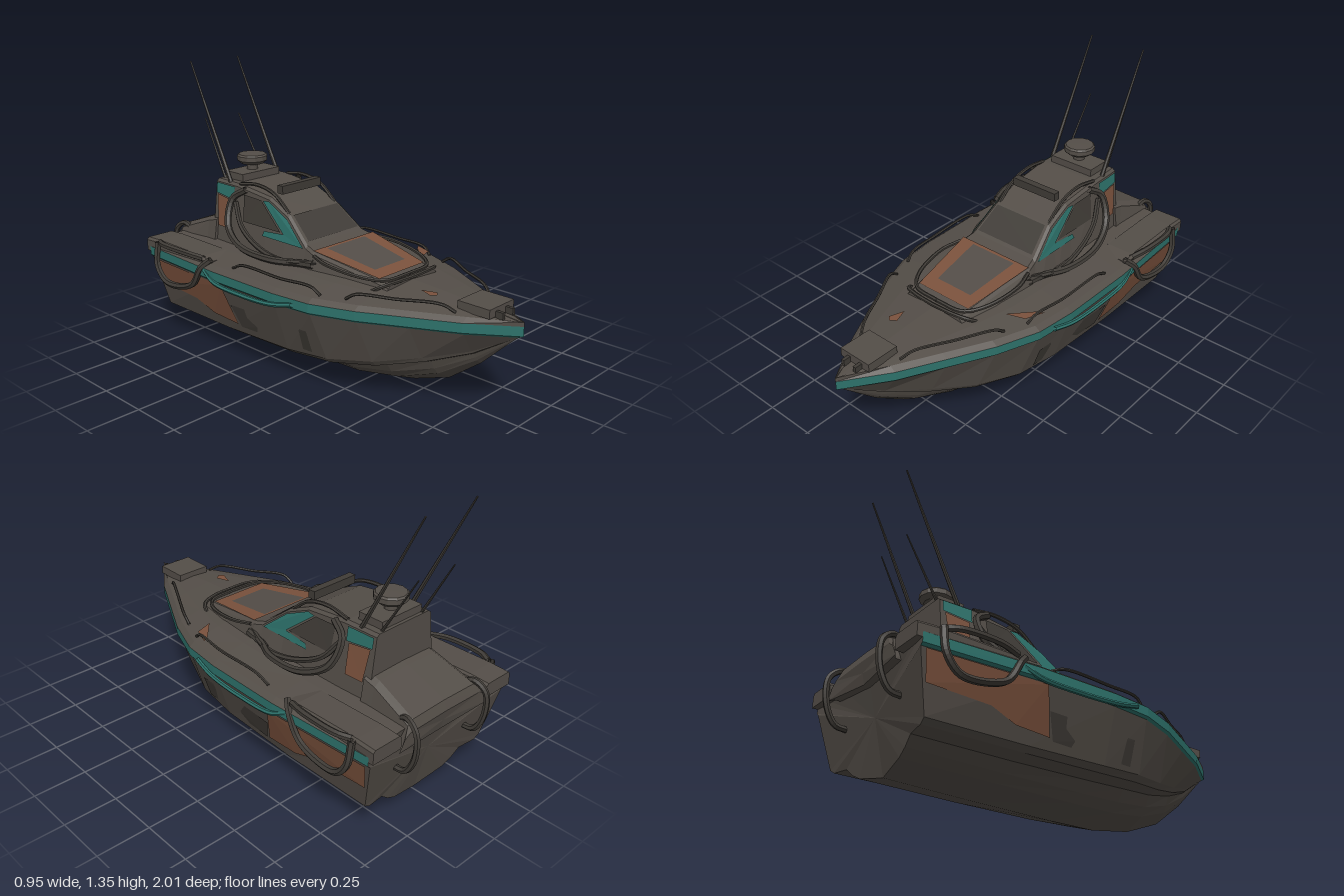
import * as THREE from 'three';

const mat = (name, color, side = THREE.FrontSide) => {
  const m = new THREE.MeshStandardMaterial({ color, side, flatShading: true });
  m.name = name;
  return m;
};

export function createModel() {
  const boat = new THREE.Group();
  boat.name = 'patrolBoat';
  const grey = mat('hullGrey', 0x544e48, THREE.DoubleSide);
  const dark = mat('fittingGrey', 0x403c37, THREE.DoubleSide);
  const teal = mat('tealTrim', 0x2d726b, THREE.DoubleSide);
  const rust = mat('rustPanel', 0x7b523d, THREE.DoubleSide);

  const add = (name, geo, material, parent = boat) => {
    const m = new THREE.Mesh(geo, material);
    m.name = name;
    parent.add(m);
    return m;
  };

  // Closed skin over rings that run from front to back; strips are sorted by material
  function loft(halfRings, matOf = () => 0) {
    const rings = halfRings.map(h => [...h, ...h.slice(1, -1).reverse().map(([x, y, z]) => [-x, y, z])]);
    const n = rings[0].length, half = halfRings[0].length, buckets = [[], []];
    for (let i = 0; i < rings.length - 1; i++) for (let j = 0; j < n; j++) {
      const k = (j + 1) % n, a = rings[i][j], b = rings[i][k], c = rings[i + 1][k], d = rings[i + 1][j];
      const strip = j < half - 1 ? j : n - 1 - j;
      buckets[matOf(strip)].push(a, d, c, a, c, b);
    }
    for (const [r, back] of [[rings[0], false], [rings[rings.length - 1], true]]) {
      const mid = [0, (r[0][1] + r[half - 1][1]) / 2, (r[0][2] + r[half - 1][2]) / 2];
      for (let j = 0; j < n; j++) {
        const p = r[j], q = r[(j + 1) % n];
        buckets[0].push(mid, ...(back ? [q, p] : [p, q]));
      }
    }
    const g = new THREE.BufferGeometry();
    g.setAttribute('position', new THREE.Float32BufferAttribute([...buckets[0], ...buckets[1]].flat(), 3));
    g.addGroup(0, buckets[0].length, 0);
    g.addGroup(buckets[0].length, buckets[1].length, 1);
    g.computeVertexNormals();
    return g;
  }

  // Value of a column in a table whose first column falls from bow to stern
  const sample = (table, z, col) => {
    let i = 0;
    while (i < table.length - 2 && z < table[i + 1][0]) i++;
    const a = table[i], b = table[i + 1];
    const t = THREE.MathUtils.clamp((z - a[0]) / (b[0] - a[0]), 0, 1);
    return a[col] + (b[col] - a[col]) * t;
  };

  // Hull lines: sheer [z, x, deck crown], keel [z, y], chine [z, x, y]
  const sheer = [[1, 0, .455], [.8, .13, .475], [.6, .235, .49], [.4, .34, .50], [.2, .415, .51], [0, .437, .51], [-.4, .443, .50], [-.93, .418, .49]];
  const keel = [[.975, .39], [.8, .22], [.64, .10], [.45, .03], [.24, 0], [0, 0], [-.4, .008], [-.82, .02]];
  const chine = [[.975, 0, .39], [.79, .06, .29], [.61, .16, .235], [.42, .26, .19], [.22, .335, .165], [0, .36, .15], [-.4, .37, .14], [-.87, .37, .14]];
  const strakes = [[0, 0], [.42, .28], [.56, .5], [.68, .8], [.92, .85], [1, 1]];
  const hull = sheer.map(([z, w, crown], i) => {
    const [kz, ky] = keel[i], [cz, cx, cy] = chine[i], lip = w ? .012 : 0;
    return [
      ...strakes.map(([fx, fy]) => [cx * fx, ky + (cy - ky) * fy, kz + (cz - kz) * fx]),
      [w, .39, z - (w ? 0 : .02)], [w + lip, .40, z], [w + lip, .443, z], [Math.max(w - .015, 0), .463, z],
      [w * .62, .463 + (crown - .463) * .6, z], [0, crown, z]
    ];
  });
  add('hull', loft(hull, s => (s === 6 || s === 7 ? 1 : 0)), [grey, teal]);

  // Thin plate cut from a flat outline, then laid on a surface by a mapping
  function plate(name, pts, material, map, hole) {
    const shape = new THREE.Shape(pts.map(p => new THREE.Vector2(...p)));
    if (hole) shape.holes.push(new THREE.Path(hole.map(p => new THREE.Vector2(...p))));
    const g = new THREE.ShapeGeometry(shape), p = g.attributes.position;
    for (let i = 0; i < p.count; i++) p.setXYZ(i, ...map(p.getX(i), p.getY(i)));
    g.computeVertexNormals();
    return add(name, g, material);
  }
  const hullSide = s => (z, y) => {
    const cx = sample(chine, z, 1), cy = sample(chine, z, 2), w = sample(sheer, z, 1);
    return [s * (cx + (w - cx) * (y - cy) / (.39 - cy) + .006), y, z];
  };

  // Cabin and forward trunk: [z, base half width, top half width, top height]
  const cab = [[.42, .2, .16, .508], [0, .235, .205, .575], [-.05, .235, .195, .588], [-.19, .225, .17, .70],
    [-.32, .22, .165, .758], [-.54, .215, .17, .785], [-.71, .205, .165, .785]];
  add('cabin', loft(cab.map(([z, b, t, y]) => [[0, .44, z], [b, .44, z], [t, y - .012, z], [t - .015, y, z], [0, y, z]])), grey);
  const cabSide = s => (z, y) => {
    const b = sample(cab, z, 1), t = sample(cab, z, 2), h = sample(cab, z, 3) - .012;
    return [s * (b + (t - b) * (y - .44) / (h - .44) + .006), y, z];
  };
  const cabTop = (x, z) => [x, sample(cab, z, 3) + .006, z];

  // Forward hatch and windscreen
  plate('hatchFrame', [[-.2, .005], [.2, .005], [.15, .36], [-.15, .36]], rust, cabTop,
    [[-.125, .02], [.125, .02], [.1, .29], [-.1, .29]]);
  plate('hatchLid', [[-.125, .02], [.125, .02], [.1, .29], [-.1, .29]], grey, cabTop);
  plate('windscreen', [[-.165, -.06], [.165, -.06], [.145, -.18], [-.145, -.18]], dark, cabTop);
  plate('deckPatch', [[.27, .25], [.36, .22], [.395, .13], [.36, .15]], rust, (x, z) => [x, .492, z]);
  plate('bowPatch', [[-.1, .6], [-.075, .53], [-.05, .6], [-.08, .62]], rust, (x, z) => [x, .497, z]);

  // Aft hatch sloping to the transom
  add('aftHatch', loft([[-.68, .2, .605], [-.74, .2, .59], [-.94, .22, .515], [-.955, .25, .47]].map(([z, w, y]) =>
    [[0, .38, z + (z < -.9 ? .02 : 0)], [w + .03, .40, z], [w, y - .02, z], [w - .03, y, z], [0, y + .005, z]])), grey);

  const box = (name, w, h, d, x, y, z, material = grey) => {
    const m = add(name, new THREE.BoxGeometry(w, h, d), material);
    m.position.set(x, y, z);
    return m;
  };
  // Sensor platform, radar, light bar and bow locker
  box('sensorPlatform', .24, .045, .13, 0, .798, -.63);
  const radar = add('radarDome', new THREE.LatheGeometry([[0, 0], [.028, 0], [.028, .03], [.055, .032], [.076, .05],
    [.076, .072], [.068, .08], [0, .082]].map(p => new THREE.Vector2(...p)), 12), grey);
  radar.position.set(0, .818, -.63);
  box('lightBar', .25, .04, .035, 0, .795, -.29, dark);
  box('bowLocker', .17, .04, .16, 0, .488, .81);
  for (const x of [-.035, .035]) box('bowCleat', .016, .035, .1, x, .475, .875, dark);

  // Tube through a few points
  const tube = (name, pts, r, s, material = dark) => add(name, new THREE.TubeGeometry(
    new THREE.CatmullRomCurve3(pts.map(([x, y, z]) => new THREE.Vector3(s * x, y, z))), pts.length * 5, r, 6), material);
  // Tapered rod between two points
  const rod = (name, a, b, r0, r1) => {
    const p = new THREE.Vector3(...a), q = new THREE.Vector3(...b), d = q.clone().sub(p);
    const m = add(name, new THREE.CylinderGeometry(r1, r0, d.length(), 6), dark);
    m.position.copy(p).add(q).multiplyScalar(.5);
    m.quaternion.setFromUnitVectors(new THREE.Vector3(0, 1, 0), d.normalize());
  };

  for (const s of [1, -1]) {
    // Painted side panels
    plate('hullPatch', [[-.31, .19], [-.48, .2], [-.6, .245], [-.89, .26], [-.91, .385], [-.36, .385]], rust, hullSide(s));
    plate('hullPanel', [[.15, .18], [-.29, .18], [-.33, .29], [.15, .29]], dark, (z, y) => {
      const p = hullSide(s)(z, y);
      return [p[0] - s * .002, p[1], p[2]];
    });
    plate('windowFrame', [[-.06, .575], [-.34, .575], [-.33, .6], [-.2, .61], [-.36, .738], [-.32, .742], [-.19, .682]], teal, cabSide(s));
    plate('sideWindow', [[-.22, .615], [-.48, .615], [-.49, .745], [-.37, .738]], dark, cabSide(s));
    plate('mastTealPanel', [[-.56, .705], [-.70, .72], [-.70, .77], [-.56, .77]], teal, cabSide(s));
    plate('mastRustPanel', [[-.575, .56], [-.67, .56], [-.69, .715], [-.575, .702]], rust, cabSide(s));

    // Stern pods
    add('sternPod', loft([[-.46, .40, .47], [-.52, .432, .485], [-.86, .432, .49], [-.955, .425, .485]].map(([z, w, y]) =>
      [[0, .42, z], [.08, .42, z], [.08, y - .012, z], [.07, y, z], [0, y, z]]
    )), grey).position.x = s * .35;

    // Aerials with mounts
    rod('tallAerial', [s * .153, .78, -.615], [s * .15, 1.345, -.9], .011, .004);
    rod('shortAerial', [s * .122, .78, -.695], [s * .108, 1.06, -.855], .007, .003);

    // Hoses along the cabin, hull and stern
    tube('cabinHose', [[.175, .77, -.48], [.2, .72, -.55], [.25, .6, -.53], [.29, .53, -.4], [.28, .51, -.2], [.23, .51, -.08], [.22, .52, .02]], .017, s);
    tube('cabinInnerHose', [[.19, .70, -.54], [.225, .6, -.46], [.25, .53, -.3], [.25, .51, -.14], [.2, .53, .03]], .013, s);
    tube('fenderLoop', [[.42, .48, -.46], [.447, .44, -.5], [.452, .345, -.56], [.455, .305, -.66], [.455, .305, -.78], [.455, .37, -.84], [.44, .485, -.85]], .016, s);
    tube('fenderTopHose', [[.43, .485, -.84], [.455, .49, -.78], [.455, .49, -.6], [.43, .48, -.5]], .015, s);
    tube('sternLoop', [[.2, .49, -.87], [.21, .52, -.93], [.22, .48, -.985], [.22, .36, -.985], [.22, .28, -.94], [.22, .27, -.88]], .014, s);
    tube('sideBumper', [[.445, .42, .12], [.458, .395, 0], [.462, .385, -.2], [.458, .395, -.4], [.445, .43, -.48]], .011, s, teal);
    tube('roofRail', [[.15, .70, -.2], [.15, .775, -.3], [.15, .80, -.42], [.155, .785, -.54]], .009, s);

    // Foredeck handrails
    tube('deckRail', [[.12, .47, .75], [.15, .5, .7], [.24, .502, .53], [.32, .505, .38], [.33, .475, .33]], .007, s);
    tube('sideDeckRail', [[.37, .47, .22], [.38, .5, .18], [.4, .5, 0], [.405, .5, -.25], [.4, .47, -.32]], .007, s);
    tube('hatchRail', [[.21, .56, .02], [.235, .55, .12], [.205, .53, .3], [.14, .52, .385], [0, .52, .4]], .009, s);
    tube('deckLine', [[0, .515, .43], [.1, .515, .425], [.18, .505, .4], [.2, .48, .36]], .009, s);
  }
  return boat;
}
